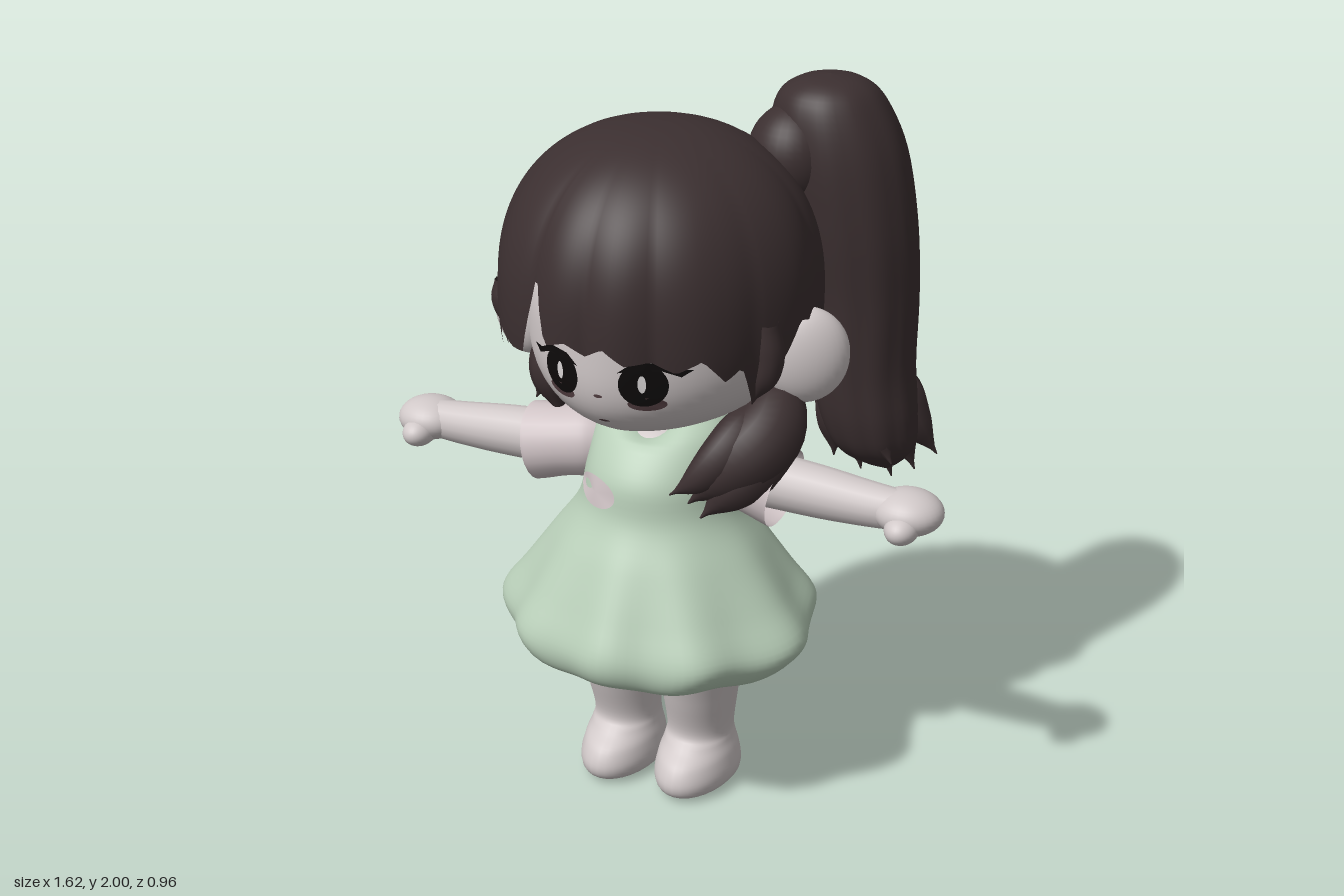
import * as THREE from 'three';
import { mergeVertices } from 'three/addons/utils/BufferGeometryUtils.js';

const mat = (name, color) => {
  const m = new THREE.MeshStandardMaterial({ color, side: THREE.DoubleSide });
  m.name = name;
  return m;
};

// Catmull-Rom through plain numbers, t in 0..1
function spline(values, t) {
  const n = values.length - 1, f = Math.min(t, 0.99999) * n, i = Math.floor(f), u = f - i;
  const p = k => values[Math.min(n, Math.max(0, i + k))];
  const a = p(-1), b = p(0), c = p(1), d = p(2);
  return b + 0.5 * u * (c - a + u * (2 * a - 5 * b + 4 * c - d + u * (3 * (b - c) + d - a)));
}

// Surface wrapped around the y axis; fn(angle, t) gives a point, t running downwards
function wrap(around, down, fn) {
  const pos = [], index = [];
  for (let i = 0; i <= down; i++)
    for (let j = 0; j < around; j++) {
      pos.push(...fn(-Math.PI + (2 * Math.PI * j) / around, i / down));
      if (i === down) continue;
      const k = (j + 1) % around, a = i * around, b = a + around;
      index.push(a + j, b + j, b + k, a + j, b + k, a + k);
    }
  const g = new THREE.BufferGeometry();
  g.setAttribute('position', new THREE.Float32BufferAttribute(pos, 3));
  g.setIndex(index);
  g.computeVertexNormals();
  return g;
}

// Loft of sections [y, x, z, rx, rzFront, rzBack], top to bottom
function loft(sections, around = 36, down = 40, shape = () => [1, 0]) {
  const col = [0, 1, 2, 3, 4, 5].map(k => sections.map(s => s[k]));
  return wrap(around, down, (th, t) => {
    const [y, x, z, rx, rf, rb] = col.map(c => spline(c, t));
    const [scale, lift] = shape(th, t);
    const c = Math.cos(th);
    return [x + Math.max(0, rx) * scale * Math.sin(th), y + lift,
      z + Math.max(0, c > 0 ? rf : rb) * scale * c];
  });
}

// Tube of changing radius
function limb(points, radii, sides = 16, segments = 24) {
  const curve = new THREE.CatmullRomCurve3(points.map(p => new THREE.Vector3(...p)));
  let g = new THREE.TubeGeometry(curve, segments, 1, sides);
  const p = g.attributes.position, v = new THREE.Vector3();
  for (let i = 0; i < p.count; i++) {
    const t = Math.floor(i / (sides + 1)) / segments, c = curve.getPointAt(t);
    v.fromBufferAttribute(p, i).sub(c).multiplyScalar(Math.max(0.002, spline(radii, t))).add(c);
    p.setXYZ(i, v.x, v.y, v.z);
  }
  g.deleteAttribute('uv');
  g.deleteAttribute('normal');
  g = mergeVertices(g, 1e-5);
  g.computeVertexNormals();
  return g;
}

const ball = (x, y, z, rx, ry, rz) =>
  new THREE.SphereGeometry(1, 32, 22).scale(rx, ry, rz).translate(x, y, z);
const disc = (x, y, rx, ry) => new THREE.CircleGeometry(1, 28).scale(rx, ry, 1).translate(x, y, 0);

// Lays a flat shape on the front of a mesh
function drape(geometry, target, offset) {
  const p = geometry.attributes.position;
  const ray = new THREE.Raycaster();
  target.updateMatrixWorld();
  for (let i = 0; i < p.count; i++) {
    ray.set(new THREE.Vector3(p.getX(i), p.getY(i), 2), new THREE.Vector3(0, 0, -1));
    const hit = ray.intersectObject(target)[0];
    if (hit) p.setZ(i, hit.point.z + offset);
  }
  geometry.computeVertexNormals();
  return geometry;
}

// Lower edge of the hair: [angle from the front, height]
const HEM = [[-3.15, 1.16], [-1.95, 1.18], [-1.7, 1.42], [-1.4, 1.46], [-1.27, 1.37], [-1.12, 1.29],
  [-1, 1.39], [-0.87, 1.34], [-0.76, 1.41], [-0.6, 1.38], [-0.5, 1.38], [-0.36, 1.61], [-0.27, 1.43],
  [-0.12, 1.45], [0, 1.42], [0.12, 1.45], [0.25, 1.41], [0.4, 1.42], [0.55, 1.39], [0.7, 1.42],
  [0.85, 1.35], [0.96, 1.38], [1.1, 1.25], [1.27, 1.37], [1.4, 1.46], [1.7, 1.42], [1.95, 1.18], [3.15, 1.16]];
function hem(th) {
  const i = HEM.findIndex(h => h[0] > th), [a, ya] = HEM[i - 1], [b, yb] = HEM[i];
  return ya + ((yb - ya) * (th - a)) / (b - a);
}

export function createModel() {
  const skin = mat('skin', 0xd0c8c8), sleeveCloth = mat('pale pink cloth', 0xcfc3c5);
  const green = mat('green cloth', 0xb8ceb8), hair = mat('dark brown hair', 0x3b2f30);
  const black = mat('eye black', 0x0e0b0b), brown = mat('eye brown', 0x554043);
  const white = mat('eye highlight', 0xdedada);
  const model = new THREE.Group();
  const add = (name, geometry, material) => {
    const m = new THREE.Mesh(geometry, material);
    m.name = name;
    model.add(m);
    return m;
  };

  // Face: full cheeks, curving back quickly from the nose
  const face = add('face', wrap(64, 40, (th, t) => {
    const v = Math.cos(Math.PI * t), c = Math.cos(th), s = Math.sin(th);
    const side = Math.max(0, 1 - Math.abs(v) ** 2.4) ** (1 / 2.4);
    const depth = Math.cbrt(Math.max(0, 1 - Math.abs(v) ** 3));
    return [0.36 * side * Math.sign(s) * Math.abs(s) ** 1.1, 1.4 + 0.268 * v,
      0.05 + (c > 0 ? 0.39 : 0.2) * depth * Math.sign(c) * Math.abs(c) ** 1.1];
  }), skin);
  add('neck', new THREE.CylinderGeometry(0.085, 0.1, 0.2, 24).translate(0, 1.1, 0.03), skin);
  add('chest', ball(0, 0.98, 0.06, 0.17, 0.13, 0.15), skin);

  // Face details
  add('mouth', drape(disc(0, 1.225, 0.016, 0.004), face, 0.004), brown);
  add('nose', drape(disc(0, 1.305, 0.012, 0.005), face, 0.004), brown);
  for (const s of [-1, 1]) {
    add('lowerEye', drape(disc(s * 0.12, 1.29, 0.045, 0.02), face, 0.004), brown);
    add('eye', drape(disc(s * 0.115, 1.345, 0.058, 0.06), face, 0.006), black);
    add('eyeHighlight', drape(disc(s * 0.115, 1.35, 0.01, 0.024), face, 0.009), white);
    const lash = [[0.055, 1.378], [0.09, 1.405], [0.15, 1.408], [0.19, 1.385], [0.225, 1.382],
      [0.2, 1.365], [0.16, 1.385], [0.1, 1.388]].map(([x, y]) => new THREE.Vector2(s * x, y));
    add('eyelash', drape(new THREE.ShapeGeometry(new THREE.Shape(lash)), face, 0.007), black);
    // Ear: a thick tilted disc
    const ear = add('ear', ball(0, 0, 0, 0.118, 0.132, 0.063), skin);
    ear.position.set(s * 0.415 - 0.02, 1.335, 0.025);
    ear.rotation.y = s * 0.5;
  }

  // Hair shell with strand ridges and a jagged fringe
  add('hairShell', wrap(200, 36, (th, t) => {
    const v = Math.cos(t * Math.acos((hem(th) - 1.47) / 0.44)), c = Math.cos(th);
    const r = Math.max(0, 1 - Math.abs(v) ** 2.3) ** (1 / 2.3);
    const k = r * (1 + 0.035 * t * (Math.abs(Math.sin(6 * th + 0.7 * Math.sin(3 * th))) - 0.5));
    return [-0.02 + 0.43 * k * Math.sin(th), 1.47 + 0.44 * v, 0.02 + (c > 0 ? 0.455 : 0.4) * k * c];
  }), hair);
  add('backHair', ball(-0.02, 1.48, -0.1, 0.39, 0.355, 0.27), hair);

  // Ponytail on the left with split ends
  add('ponytail', loft([[2.0, 0.325, -0.28, 0, 0, 0], [1.985, 0.325, -0.28, 0.085, 0.08, 0.09],
    [1.93, 0.325, -0.285, 0.145, 0.14, 0.155], [1.8, 0.35, -0.295, 0.18, 0.175, 0.175],
    [1.6, 0.39, -0.3, 0.175, 0.175, 0.18], [1.4, 0.42, -0.31, 0.155, 0.165, 0.165],
    [1.2, 0.43, -0.31, 0.145, 0.155, 0.15], [1.05, 0.455, -0.31, 0.135, 0.14, 0.135],
    [0.95, 0.48, -0.32, 0.1, 0.105, 0.105], [0.88, 0.51, -0.33, 0, 0, 0]], 56, 48,
  (th, t) => [1 + 0.06 * t * (Math.abs(Math.sin(5 * th + 2 * t)) - 0.5), 0]), hair);
  add('ponytailRoot', ball(0.255, 1.79, -0.215, 0.125, 0.14, 0.13), hair);
  for (const [x, y, z] of [[0.63, 0.92, -0.4], [0.58, 0.88, -0.36], [0.52, 0.855, -0.34],
    [0.45, 0.89, -0.28], [0.38, 0.93, -0.25], [0.5, 0.88, -0.42], [0.56, 0.95, -0.22]])
    add('ponytailTip', limb([[0.44 + (x - 0.5) * 0.5, 1.2, -0.31 + (z + 0.31) * 0.6],
      [0.46 + (x - 0.5) * 0.7, 1.04, -0.31 + (z + 0.31) * 0.8], [x, y, z]], [0.02, 0.06, 0.05, 0], 8, 14), hair);

  // Loose side locks: path, then radii
  const locks = [
    [[[0.31, 1.27, -0.02], [0.33, 1.14, 0.1], [0.25, 1.04, 0.2], [0.16, 0.95, 0.24]], [0.03, 0.085, 0.1, 0.07, 0]],
    [[[0.32, 1.22, 0], [0.33, 1.1, 0.1], [0.27, 1.0, 0.2], [0.2, 0.92, 0.25]], [0.03, 0.07, 0.08, 0.06, 0]],
    [[[0.3, 1.2, 0.08], [0.25, 1.1, 0.2], [0.19, 1.03, 0.25], [0.12, 0.98, 0.27]], [0.03, 0.06, 0.06, 0.04, 0]],
    [[[-0.28, 1.3, 0], [-0.32, 1.2, 0.05], [-0.3, 1.06, 0.09]], [0.04, 0.08, 0.065, 0]],
    [[[-0.3, 1.28, 0], [-0.34, 1.19, 0.04], [-0.38, 1.09, 0.07]], [0.04, 0.06, 0.05, 0]],
    [[[0.36, 1.48, 0.2], [0.36, 1.36, 0.19], [0.32, 1.25, 0.2]], [0.03, 0.04, 0.035, 0]],
    [[[-0.39, 1.48, 0.2], [-0.39, 1.42, 0.2], [-0.36, 1.34, 0.22]], [0.03, 0.04, 0.03, 0]],
  ];
  for (const [path, radii] of locks) add('sideLock', limb(path, radii, 12, 20), hair);

  // Dress: fitted top, rippled skirt, hem turned up inside
  const dress = add('dress', loft([[1.13, 0, 0.02, 0.15, 0.1, 0.09], [1.08, 0, 0.035, 0.19, 0.16, 0.12],
    [0.98, 0, 0.07, 0.2, 0.2, 0.18], [0.87, 0, 0.08, 0.225, 0.21, 0.23], [0.76, 0, 0.08, 0.3, 0.27, 0.28],
    [0.64, 0, 0.08, 0.38, 0.33, 0.335], [0.54, 0, 0.08, 0.445, 0.375, 0.38], [0.475, 0, 0.08, 0.415, 0.365, 0.365],
    [0.45, 0, 0.08, 0.37, 0.325, 0.325], [0.5, 0, 0.08, 0.32, 0.27, 0.27], [0.6, 0, 0.08, 0.2, 0.18, 0.18],
    [0.62, 0, 0.08, 0, 0, 0]], 108, 60, (th, t) => {
    const flare = THREE.MathUtils.smoothstep(t, 0.25, 0.6), c = Math.cos(th);
    return [1 + 0.035 * flare * Math.cos(9 * th + Math.sin(2 * th)),
      t < 0.1 ? -0.065 * (1 - t * 10) * Math.max(0, c) ** 12
        : flare * (0.035 * Math.max(0, -c) + 0.007 * Math.cos(9 * th))];
  }), green);
  add('dressPatch', drape(disc(-0.105, 0.938, 0.07, 0.041), dress, 0.006), sleeveCloth);

  for (const s of [-1, 1]) {
    // Sleeve, arm, hand and thumb
    add('sleeve', limb([[s * 0.12, 1.0, 0.05], [s * 0.2, 0.995, 0.06], [s * 0.29, 0.985, 0.08], [s * 0.37, 0.97, 0.085]],
      [0.07, 0.1, 0.102, 0.11], 24), sleeveCloth);
    add('arm', limb([[s * 0.2, 0.99, 0.075], [s * 0.45, 0.98, 0.08], [s * 0.62, 0.975, 0.085], [s * 0.76, 0.975, 0.085]],
      [0.08, 0.075, 0.07, 0.06, 0.05]), skin);
    add('hand', ball(s * 0.715, 0.973, 0.08, 0.095, 0.06, 0.088), skin);
    add('thumb', ball(s * 0.72, 0.95, 0.14, 0.045, 0.04, 0.058), skin);
    // Leg flowing into a rounded foot
    add('legAndFoot', loft([[0.64, s * 0.125, 0.08, 0.12, 0.15, 0.13], [0.45, s * 0.125, 0.07, 0.12, 0.16, 0.13],
      [0.3, s * 0.12, 0.06, 0.105, 0.13, 0.12], [0.18, s * 0.115, 0.05, 0.093, 0.105, 0.108],
      [0.14, s * 0.115, 0.05, 0.096, 0.13, 0.11], [0.1, s * 0.116, 0.05, 0.107, 0.18, 0.116],
      [0.05, s * 0.117, 0.05, 0.114, 0.2, 0.12], [0.012, s * 0.117, 0.05, 0.1, 0.175, 0.105],
      [0.003, s * 0.117, 0.05, 0.05, 0.09, 0.05], [0, s * 0.117, 0.05, 0, 0, 0]], 32, 54), skin);
  }
  return model;
}
